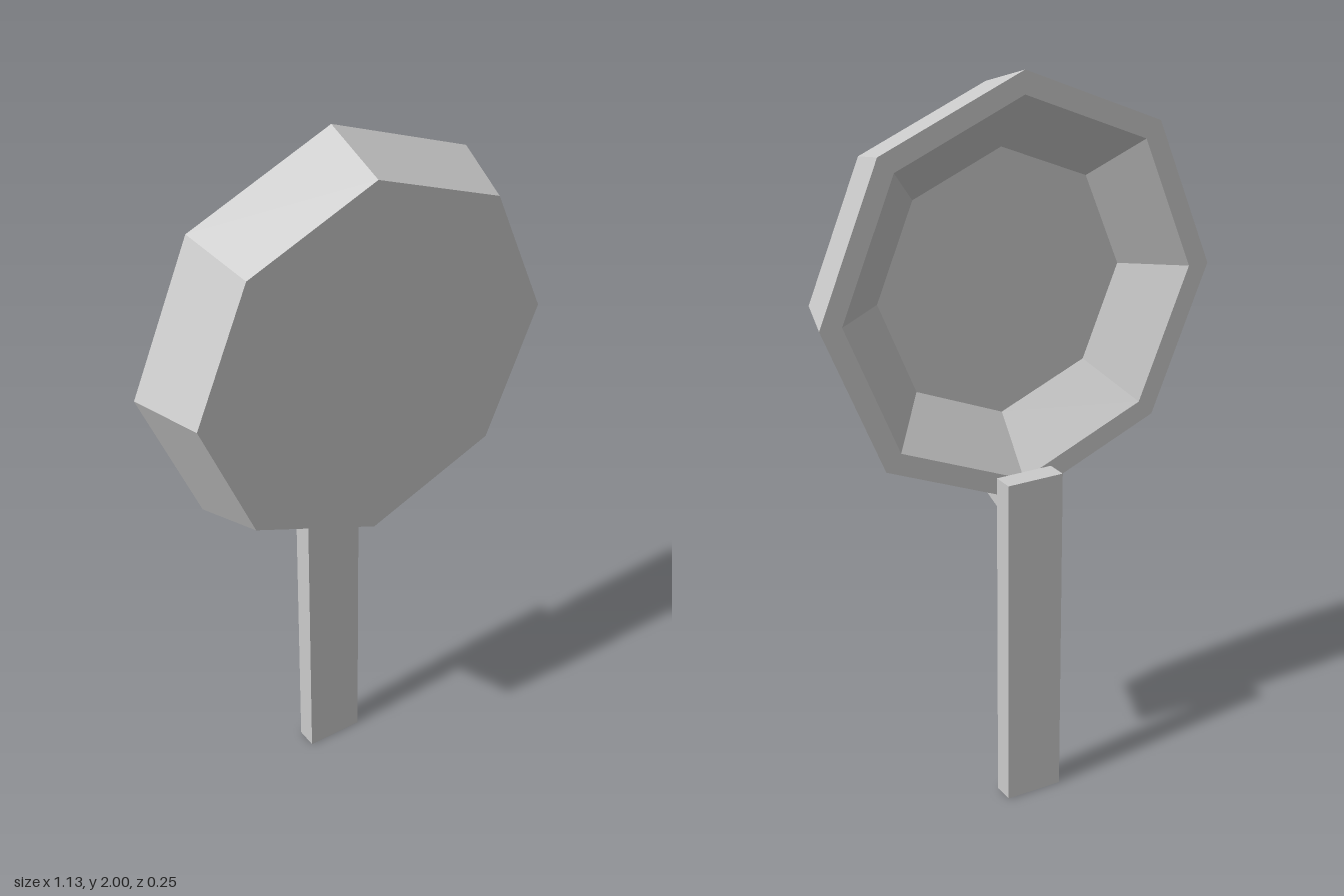
import * as THREE from 'three';

export function createModel() {
  const group = new THREE.Group();
  const material = new THREE.MeshStandardMaterial({ color: 0xcccccc, flatShading: true });
  const add = (name, geometry) => {
    const mesh = new THREE.Mesh(geometry, material);
    mesh.name = name;
    group.add(mesh);
    return mesh;
  };

  // Eight-sided pan: closed profile from the inner floor over the rim to the base
  const profile = [
    [0, 0.05], [0.355, 0.05], [0.505, -0.067], [0.565, -0.067], [0.505, 0.127], [0, 0.127],
  ].map(([r, h]) => new THREE.Vector2(r, h));
  const pan = new THREE.LatheGeometry(profile, 8);
  pan.rotateX(Math.PI / 2); // the pan's base faces the front
  add('pan', pan).position.y = 1.435;

  // Flat handle, fixed behind the rim
  add('handle', new THREE.BoxGeometry(0.164, 0.95, 0.06)).position.set(0, 0.475, -0.097);

  // Slanted bracket under the pan wall, drawn in side section (z, y)
  const section = new THREE.Shape([
    [-0.067, 0.87], [0.04, 0.911], [0.04, 0.945], [-0.067, 0.92],
  ].map(([z, y]) => new THREE.Vector2(z, y)));
  const bracket = new THREE.ExtrudeGeometry(section, { depth: 0.164, bevelEnabled: false });
  bracket.translate(0, 0, -0.082);
  bracket.rotateY(-Math.PI / 2);
  add('handleBracket', bracket);

  return group;
}
